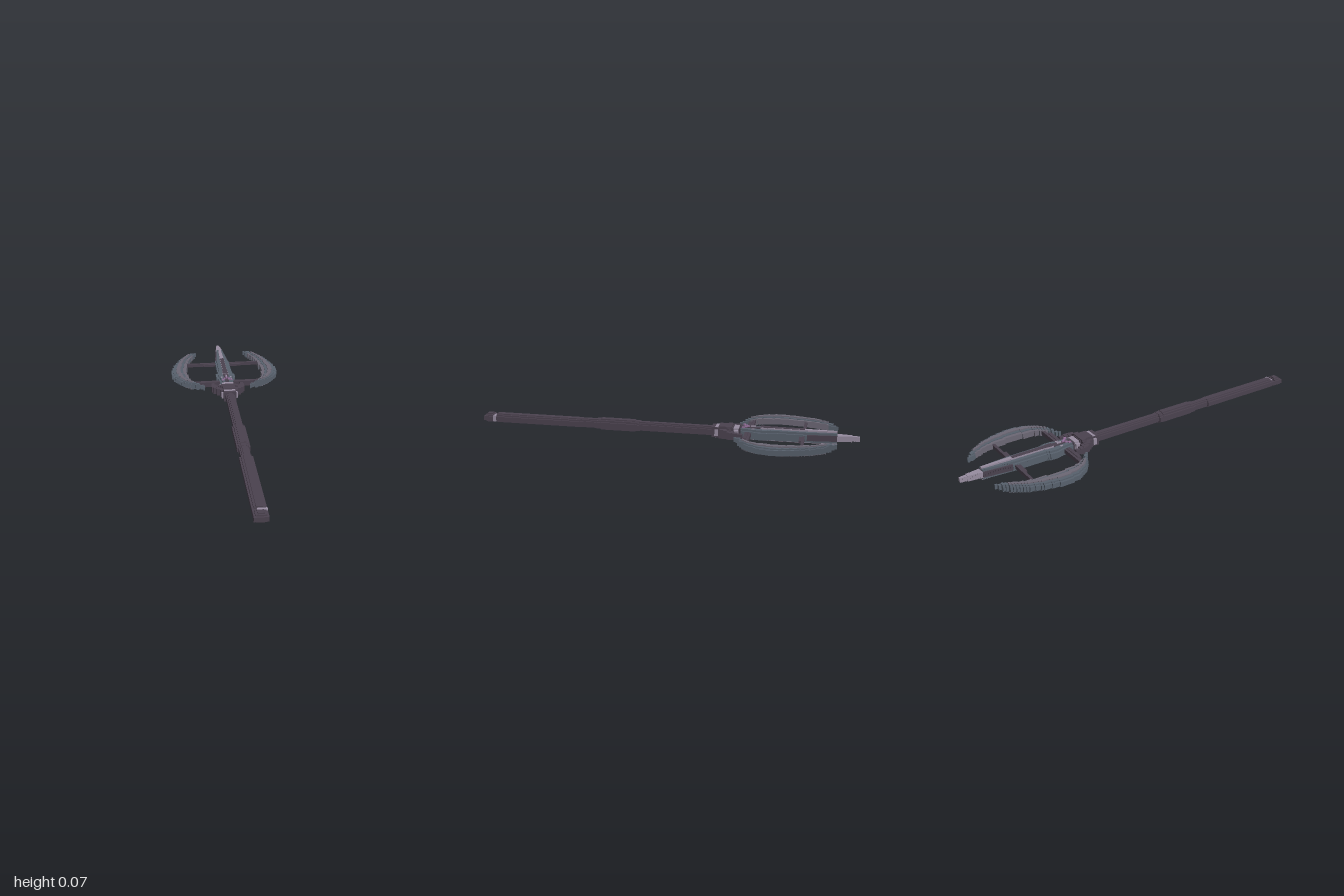
import * as THREE from 'three';
import { mergeGeometries } from 'three/addons/utils/BufferGeometryUtils.js';

const mat = (name, color) => Object.assign(new THREE.MeshStandardMaterial({ color }), { name });
const MID = 0.0385; // height of the staff's axis
const STEP = 0.0125; // block size along the staff

// block between two x and two z positions, with half height h about the axis
function block(x0, x1, z0, z1, h, y = MID) {
  const g = new THREE.BoxGeometry(Math.abs(x1 - x0), 2 * h, Math.abs(z1 - z0));
  return g.translate((x0 + x1) / 2, y, (z0 + z1) / 2);
}

// piecewise linear lookup in [z, value] pairs
function lerpAt(points, z) {
  for (let i = 1; i < points.length; i++) {
    const [a, u] = points[i - 1], [b, v] = points[i];
    if (z <= b) return u + (v - u) * Math.max(0, (z - a) / (b - a));
  }
  return points[points.length - 1][1];
}

const snap = (v) => Math.round(v / 0.0085) * 0.0085;

export function createModel() {
  const root = new THREE.Group();
  root.name = 'staff';
  const purple = mat('dark purple', 0x4b424f);
  const shade = mat('deep purple', 0x3f3744);
  const slate = mat('slate', 0x58616d);
  const lavender = mat('pale lavender', 0x978da0);
  const grey = mat('violet grey', 0x6c6875);
  const mauve = mat('mauve', 0x94709a);

  function add(name, material, blocks) {
    const mesh = new THREE.Mesh(mergeGeometries(blocks), material);
    mesh.name = name;
    root.add(mesh);
  }

  // bar with a stepped, roughly octagonal section
  const bar = (w, h, z0, z1) => [
    block(-w, w, z0, z1, h * 0.45),
    block(-w * 0.75, w * 0.75, z0, z1, h * 0.78),
    block(-w * 0.45, w * 0.45, z0, z1, h),
  ];

  // shaft, grip and butt
  add('upperShaft', purple, bar(0.025, 0.024, -0.25, 0.14));
  add('grip', purple, [...bar(0.034, 0.03, 0.16, 0.345), ...bar(0.034, 0.026, 0.135, 0.37)]);
  add('middleShaft', purple, bar(0.025, 0.024, 0.36, 0.47));
  add('lowerShaft', purple, bar(0.034, 0.024, 0.46, 0.93));
  add('pommelNeck', purple, [block(-0.034, 0.034, 0.93, 0.95, 0.011)]);
  add('pommelBand', lavender, [block(-0.012, 0.0345, 0.93, 0.947, 0.016)]);
  add('pommel', purple, [
    block(-0.034, 0.034, 0.945, 1, 0.011),
    block(-0.026, 0.026, 0.95, 0.992, 0.018),
    block(-0.016, 0.016, 0.957, 0.985, 0.024),
  ]);

  // collar under the head
  add('collarBand', lavender, [
    block(-0.045, 0.045, -0.285, -0.267, 0.016),
    block(-0.032, 0.032, -0.287, -0.269, 0.028),
  ]);
  add('collar', purple, [
    block(-0.034, 0.034, -0.36, -0.25, 0.027),
    block(-0.054, 0.054, -0.355, -0.335, 0.027),
    block(-0.034, 0.034, -0.355, -0.287, 0.033),
    block(-0.044, 0.044, -0.355, -0.33, 0.033),
  ]);
  add('neck', shade, [block(-0.026, 0.026, -0.41, -0.35, 0.022)]);
  add('neckBand', lavender, [
    block(-0.045, 0.045, -0.388, -0.366, 0.018),
    block(-0.032, 0.032, -0.39, -0.364, 0.027),
  ]);

  // guard prongs flaring from the collar, and crossbars to the side blades
  const prongs = [], bars = [];
  for (const s of [-1, 1]) {
    for (const [x0, x1, z0, z1, h] of [
      [0.03, 0.05, -0.33, -0.295, 0.02], [0.04, 0.068, -0.355, -0.315, 0.02],
      [0.05, 0.085, -0.37, -0.335, 0.018], [0.064, 0.092, -0.39, -0.35, 0.016],
      [0.072, 0.09, -0.415, -0.375, 0.013],
    ]) prongs.push(block(s * x0, s * x1, z0, z1, h));
    bars.push(block(s * 0.03, s * 0.225, -0.727, -0.713, 0.009));
    bars.push(block(s * 0.04, s * 0.11, -0.716, -0.7, 0.006));
    bars.push(block(s * 0.03, s * 0.215, -0.455, -0.44, 0.011));
    bars.push(block(s * 0.04, s * 0.15, -0.442, -0.424, 0.014));
  }
  add('guardProngs', purple, prongs);
  add('crossbars', purple, bars);

  // curved side blades, sliced along the staff
  const outer = [[-0.89, 0.15], [-0.84, 0.205], [-0.78, 0.25], [-0.7, 0.285], [-0.62, 0.305], [-0.58, 0.309],
    [-0.52, 0.295], [-0.46, 0.255], [-0.42, 0.2], [-0.385, 0.135]];
  const inner = [[-0.89, 0.138], [-0.84, 0.168], [-0.78, 0.196], [-0.7, 0.213], [-0.6, 0.22],
    [-0.5, 0.213], [-0.455, 0.196], [-0.42, 0.168], [-0.385, 0.125]];
  const edge = [], face = [], spine = [], lining = [];
  for (let z = -0.89; z < -0.387; z += STEP) {
    const c = z + STEP / 2;
    const a = snap(lerpAt(inner, c)), b = Math.max(snap(lerpAt(outer, c)), a + 0.0085), w = b - a;
    for (const s of [-1, 1]) {
      edge.push(block(s * a, s * b, z, z + STEP, 0.012));
      if (w > 0.02) face.push(block(s * (a + w * 0.2), s * (b - w * 0.14), z, z + STEP, 0.019));
      if (w > 0.035) {
        spine.push(block(s * (a + w * 0.38), s * (a + w * 0.66), z, z + STEP, 0.025));
        lining.push(block(s * (a - 0.002), s * (a + w * 0.2), z, z + STEP, 0.015));
      }
    }
  }
  add('sideBladeEdges', slate, edge);
  add('sideBladeFaces', slate, face);
  add('sideBladeSpines', grey, spine);
  add('sideBladeLinings', grey, lining);

  // central spear blade, sliced the same way
  const half = [[-1, 0.006], [-0.96, 0.012], [-0.9, 0.02], [-0.8, 0.032], [-0.72, 0.04],
    [-0.55, 0.042], [-0.53, 0.054], [-0.49, 0.054], [-0.46, 0.042], [-0.4, 0.035]];
  const tip = [], upperRim = [], rim = [], cheek = [], ridge = [], cap = [];
  for (let i = 0; i < 48; i++) {
    const z = -1 + i * STEP, z1 = z + STEP, w = lerpAt(half, z + STEP / 2);
    (z < -0.89 ? tip : z < -0.74 ? upperRim : rim).push(block(-w, w, z, z1, z < -0.97 ? 0.012 : 0.015));
    if (z > -0.9) cheek.push(block(-w * 0.78, w * 0.78, z, z1, 0.026));
    if (z > -0.89 && z < -0.5) ridge.push(block(-w * 0.3, w * 0.3, z, z1, 0.034));
    if (z > -0.73) cap.push(block(-w * 0.27, w * 0.27, z, z1, z < -0.5 ? 0.036 : 0.031));
  }
  add('spearTip', lavender, tip);
  add('spearUpperEdge', purple, upperRim);
  add('spearLowerEdge', slate, rim);
  add('spearCheeks', slate, cheek);
  add('spearRidge', lavender, ridge);
  add('spearRidgeCap', purple, cap);

  // mauve studs and pale flecks at the foot of the spear, above and below
  const studs = [], flecks = [];
  for (const s of [-1, 1]) {
    for (let i = -2; i <= 2; i++) {
      const x = i * 0.012, z = -0.445 + Math.abs(i) * 0.012;
      studs.push(block(x - 0.005, x + 0.005, z, z + 0.013, 0.003, MID + s * 0.0335));
    }
    flecks.push(block(-0.004, 0.004, -0.475, -0.45, 0.003, MID + s * 0.0335));
    flecks.push(block(s * 0.022, s * 0.03, -0.47, -0.455, 0.029));
  }
  add('studs', mauve, studs);
  add('flecks', lavender, flecks);
  return root;
}
